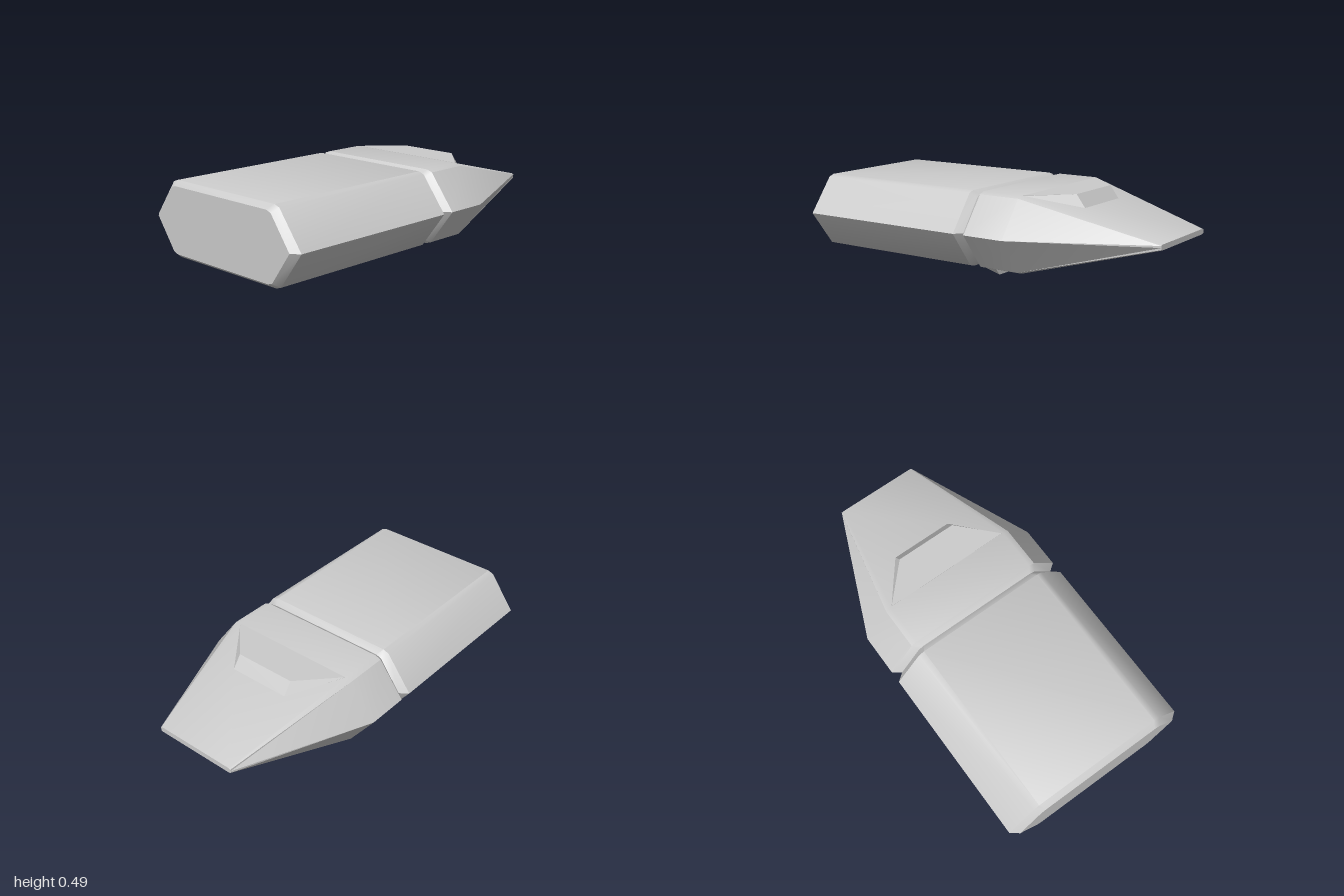
import * as THREE from 'three';
import { toCreasedNormals } from 'three/addons/utils/BufferGeometryUtils.js';

const MID = 0.294; // height of the widest line

// Ten-sided section: side point (w, 0), corner (cx, cy) and top edge (tx, ty), mirrored both ways
function section(z, [w, cx, cy, tx, ty]) {
  return [
    [w, 0], [cx, cy], [tx, ty], [-tx, ty], [-cx, cy],
    [-w, 0], [-cx, -cy], [-tx, -ty], [tx, -ty], [cx, -cy],
  ].map(([x, y]) => [x, MID + y, z]);
}

// Closed solid through rings listed front to back, each anticlockwise seen from the front
function loft(name, rings, crease = 0.65) {
  const pos = [];
  const tri = (a, b, c) => pos.push(...a, ...b, ...c);
  const n = rings[0].length;
  for (let r = 0; r < rings.length - 1; r++) {
    for (let k = 0; k < n; k++) {
      const j = (k + 1) % n;
      const a = rings[r][k], b = rings[r][j], c = rings[r + 1][j], d = rings[r + 1][k];
      tri(a, d, c);
      tri(a, c, b);
    }
  }
  const first = rings[0], last = rings[rings.length - 1];
  for (let k = 1; k < n - 1; k++) {
    tri(first[0], first[k], first[k + 1]);
    tri(last[0], last[k + 1], last[k]);
  }
  const geo = new THREE.BufferGeometry();
  geo.setAttribute('position', new THREE.Float32BufferAttribute(pos, 3));
  const mesh = new THREE.Mesh(
    toCreasedNormals(geo, crease),
    new THREE.MeshStandardMaterial({ color: 0xcccccc })
  );
  mesh.name = name;
  return mesh;
}

export function createModel() {
  const group = new THREE.Group();
  group.name = 'wedgeNosedCapsule';

  const full = [0.533, 0.392, 0.186, 0.36, 0.197];
  const inset = [0.49, 0.37, 0.164, 0.34, 0.174];
  const tip = [0.235, 0.235, 0.01, 0.225, 0.014];

  // Long body with chamfered ends
  group.add(loft('body', [
    section(1, inset), section(0.967, full), section(-0.005, full), section(-0.038, inset),
  ]));

  // Nose, chamfered at the groove and tapering to a thin flat tip
  group.add(loft('nose', [
    section(-0.038, inset), section(-0.07, full), section(-0.3, full), section(-1, tip),
  ], 0.5));

  // Raised ledge continuing the flat top over the nose slope
  group.add(loft('topLedge', [
    [[-0.355, 0.488, -0.305], [0.355, 0.488, -0.305], [0.355, 0.491, -0.305], [-0.355, 0.491, -0.305]],
    [[-0.17, 0.424, -0.55], [0.17, 0.424, -0.55], [0.17, 0.491, -0.5], [-0.17, 0.491, -0.5]],
  ], 0.3));

  // Wedge under the body, deepening toward the groove
  group.add(loft('bottomWedge', [
    [[-0.125, 0.098, 0.34], [0.125, 0.098, 0.34], [0.125, 0.098, 0.34], [-0.125, 0.098, 0.34]],
    [[-0.125, 0, 0], [0.125, 0, 0], [0.21, 0.098, 0], [-0.21, 0.098, 0]],
  ], 0.3));

  return group;
}
